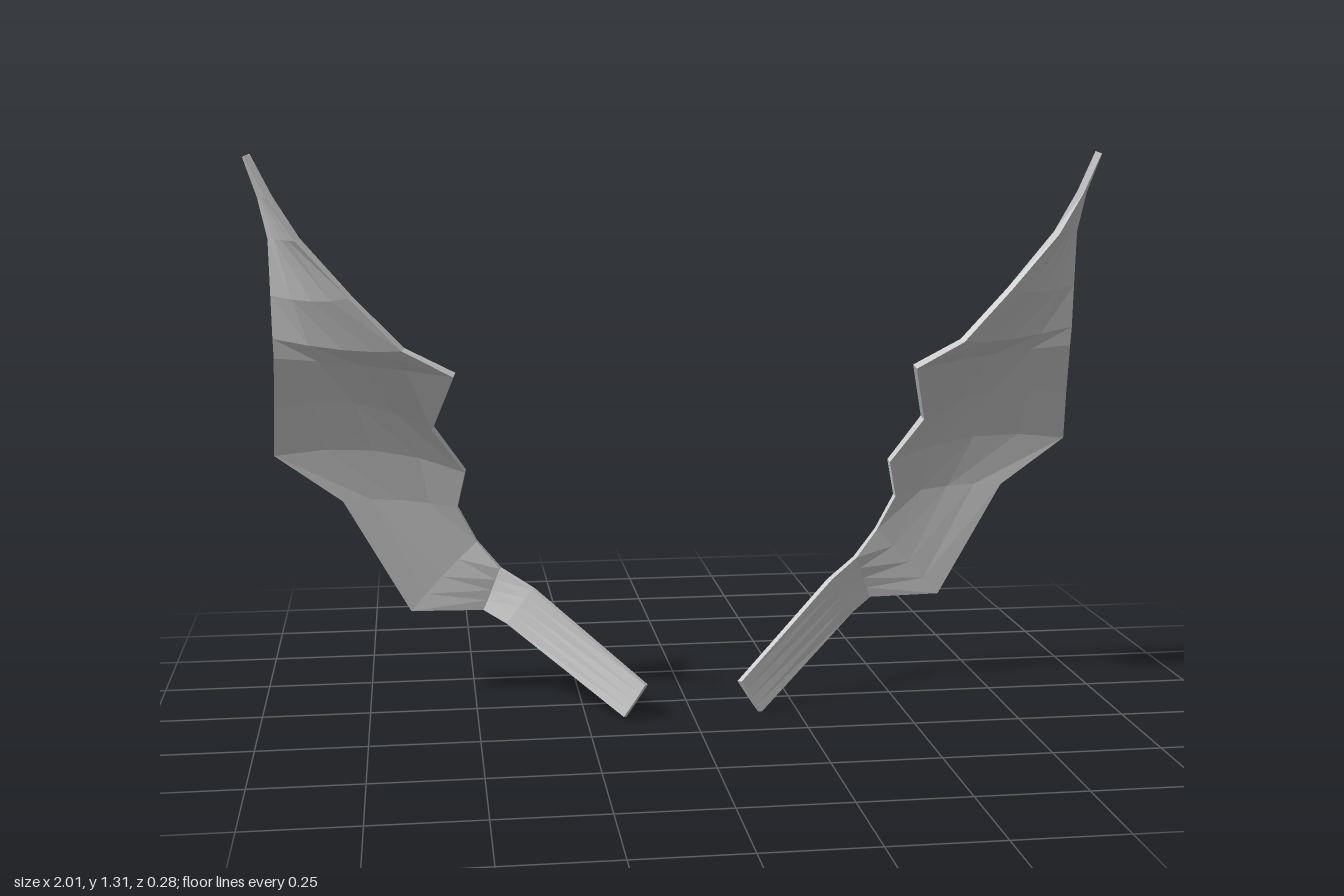
import * as THREE from 'three';

// Cross-sections from root to tip: inner edge, middle, outer edge
const ROWS = [
  [[0.11, 0.085, 0.125], [0.135, 0.045, 0.122], [0.16, 0.008, 0.12]],
  [[0.36, 0.28, -0.052], [0.39, 0.235, -0.066], [0.42, 0.19, -0.078]],
  [[0.435, 0.32, -0.108], [0.455, 0.265, -0.12], [0.475, 0.215, -0.125]],
  [[0.49, 0.385, -0.125], [0.575, 0.30, -0.132], [0.65, 0.217, -0.132]],
  [[0.535, 0.47, -0.122], [0.67, 0.49, -0.135], [0.805, 0.49, -0.132]],
  [[0.515, 0.56, -0.105], [0.73, 0.615, -0.122], [0.962, 0.605, -0.13]],
  [[0.59, 0.67, -0.075], [0.77, 0.735, -0.09], [0.956, 0.725, -0.1]],
  [[0.54, 0.81, 0.038], [0.75, 0.83, -0.045], [0.95, 0.845, -0.065]],
  [[0.655, 0.87, 0.035], [0.79, 0.868, -0.025], [0.95, 0.89, -0.06]],
  [[0.77, 0.99, 0.025], [0.855, 0.98, -0.015], [0.95, 0.99, -0.057]],
  [[0.885, 1.12, 0.012], [0.918, 1.12, -0.02], [0.95, 1.12, -0.052]],
  [[0.945, 1.215, -0.002], [0.956, 1.215, -0.022], [0.968, 1.215, -0.046]],
  [[0.992, 1.308, -0.018], [0.994, 1.308, -0.022], [0.996, 1.306, -0.028]],
];
const COLS = 5;
const HALF_THICKNESS = 0.008;

// Smooth arc through the three points of a section
function sectionPoint([a, b, c], t) {
  return a.map((v, i) => v * (1 - t) * (1 - 2 * t) + b[i] * 4 * t * (1 - t) + c[i] * t * (2 * t - 1));
}

function wingGeometry(side) {
  // Middle surface of the wing
  const points = [], sheet = [];
  for (const row of ROWS) {
    for (let j = 0; j < COLS; j++) {
      const [x, y, z] = sectionPoint(row, j / (COLS - 1));
      points.push(x * side, y, z);
    }
  }
  const tri = (list, a, b, c) => (side > 0 ? list.push(a, b, c) : list.push(a, c, b));
  for (let i = 0; i < ROWS.length - 1; i++) {
    for (let j = 0; j < COLS - 1; j++) {
      const a = i * COLS + j, b = a + 1, c = a + COLS, d = c + 1;
      tri(sheet, a, b, d);
      tri(sheet, a, d, c);
    }
  }
  const middle = new THREE.BufferGeometry();
  middle.setAttribute('position', new THREE.Float32BufferAttribute(points, 3));
  middle.setIndex(sheet);
  middle.computeVertexNormals();

  // Front and back skins, offset along the normals
  const normal = middle.attributes.normal.array;
  const skin = (d) => points.map((v, k) => v + normal[k] * d);
  const count = points.length / 3;
  const index = [...sheet];
  for (let k = 0; k < sheet.length; k += 3) {
    index.push(sheet[k] + count, sheet[k + 2] + count, sheet[k + 1] + count);
  }

  // Rim joining both skins around the outline
  const rim = [], last = ROWS.length - 1;
  for (let j = 0; j < COLS; j++) rim.push(j);
  for (let i = 1; i <= last; i++) rim.push(i * COLS + COLS - 1);
  for (let j = COLS - 2; j >= 0; j--) rim.push(last * COLS + j);
  for (let i = last - 1; i > 0; i--) rim.push(i * COLS);
  rim.forEach((a, k) => {
    const b = rim[(k + 1) % rim.length];
    tri(index, a, a + count, b + count);
    tri(index, a, b + count, b);
  });

  const geometry = new THREE.BufferGeometry();
  geometry.setAttribute('position',
    new THREE.Float32BufferAttribute([...skin(HALF_THICKNESS), ...skin(-HALF_THICKNESS)], 3));
  geometry.setIndex(index);
  geometry.computeVertexNormals();
  return geometry;
}

export function createModel() {
  const group = new THREE.Group();
  group.name = 'wingPair';
  const material = new THREE.MeshStandardMaterial({
    color: 0xcccccc, flatShading: true, side: THREE.DoubleSide,
  });
  for (const [name, side] of [['leftWing', 1], ['rightWing', -1]]) {
    const wing = new THREE.Mesh(wingGeometry(side), material);
    wing.name = name;
    group.add(wing);
  }
  return group;
}
